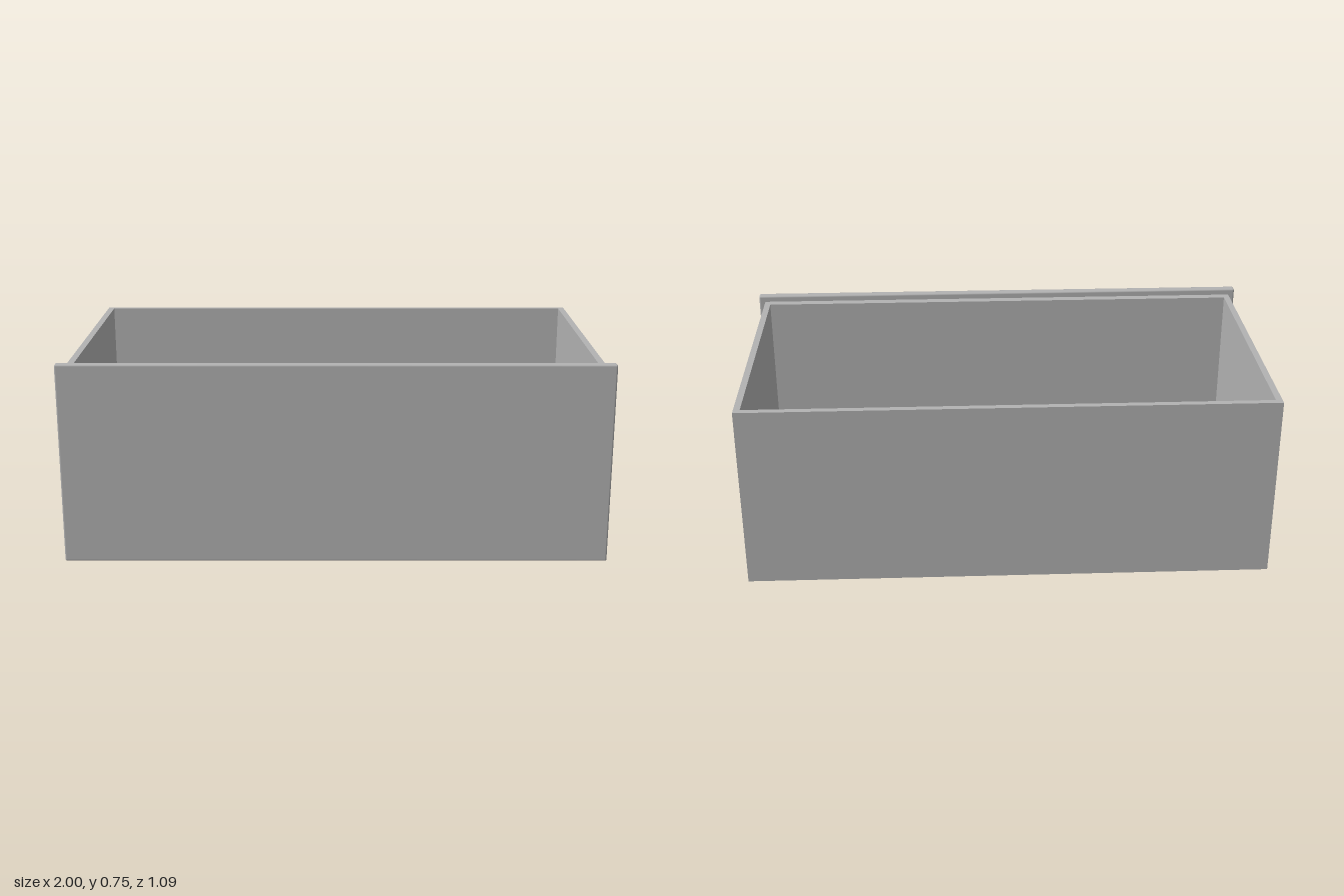
import * as THREE from 'three';
import { RoundedBoxGeometry } from 'three/addons/geometries/RoundedBoxGeometry.js';

export function createModel() {
  const group = new THREE.Group();
  group.name = 'drawer';
  const grey = new THREE.MeshStandardMaterial({ color: 0xb2b2b2 });
  grey.name = 'grey';

  const add = (name, geometry, x, y, z) => {
    const mesh = new THREE.Mesh(geometry, grey);
    mesh.name = name;
    mesh.position.set(x, y, z);
    group.add(mesh);
  };

  // Rectangle in plan, given by its half width and its back and front z
  const trace = (path, w, back, front) => {
    path.moveTo(-w, -front);
    path.lineTo(w, -front);
    path.lineTo(w, -back);
    path.lineTo(-w, -back);
    path.closePath();
    return path;
  };

  const base = 0.025, top = 0.724, wall = 0.024;
  const outer = { w: 0.975, back: -0.545, front: 0.51 };
  const inner = { w: 0.951, back: -0.521, front: 0.476 };

  // Four walls as one open frame
  const frame = trace(new THREE.Shape(), outer.w, outer.back, outer.front);
  frame.holes.push(trace(new THREE.Path(), inner.w, inner.back, inner.front));
  const walls = new THREE.ExtrudeGeometry(frame, { depth: top - base, bevelEnabled: false });
  walls.rotateX(-Math.PI / 2);
  add('walls', walls, 0, base, 0);

  // Floor set between the walls, flush with their lower edge
  add('floor', new THREE.BoxGeometry(inner.w * 2, wall, inner.front - inner.back),
    0, base + wall / 2, (inner.front + inner.back) / 2);

  // Overhanging front panel with softened edges
  const height = 0.748, depth = 0.035;
  add('frontPanel', new RoundedBoxGeometry(2, height, depth, 2, 0.007),
    0, height / 2, 0.545 - depth / 2);

  return group;
}
